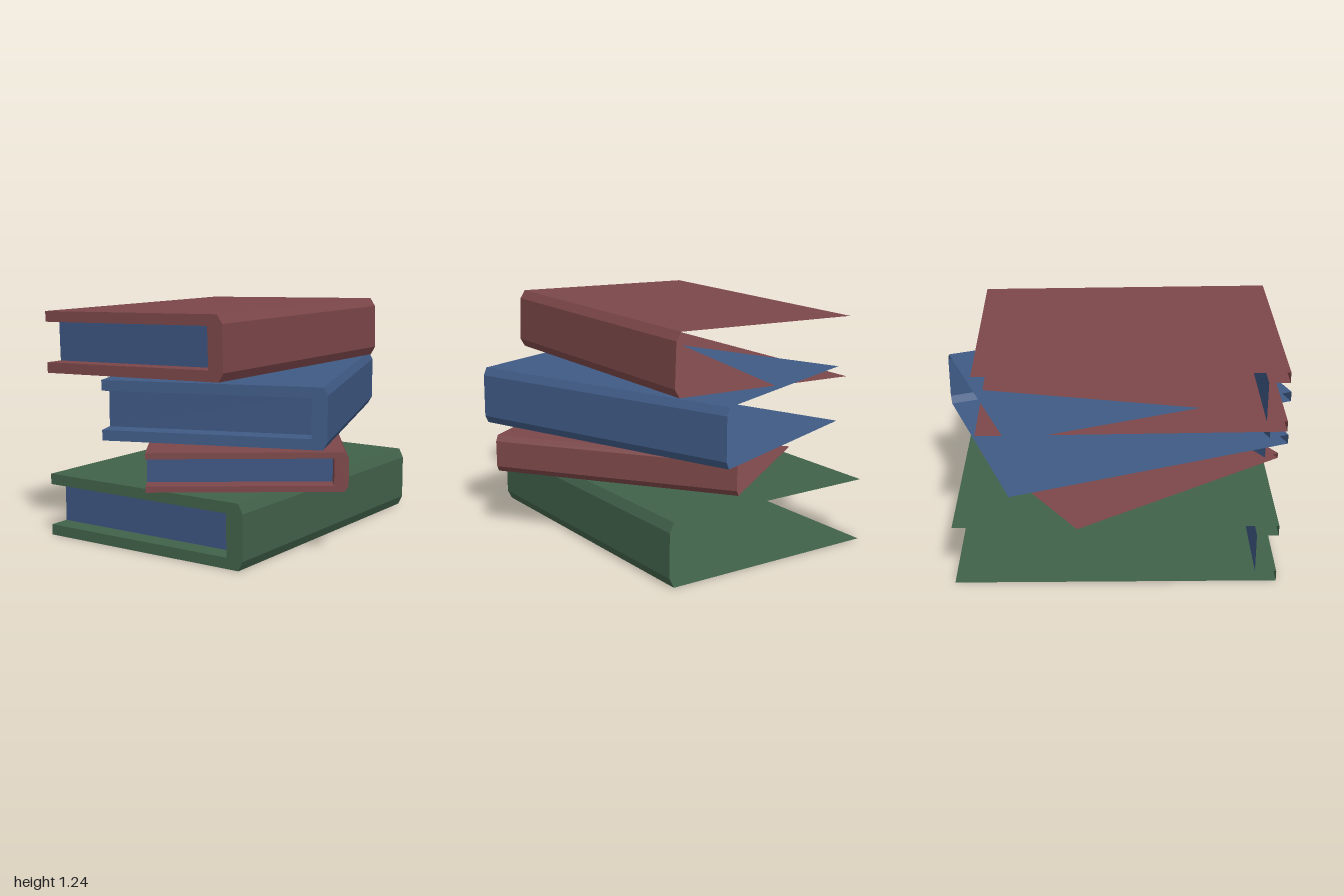
import * as THREE from 'three';

const RED = 0x7c4749, GREEN = 0x41624a, BLUE = 0x3f5a85, PAGES = 0x3c5580;

// Sweep an open cross-section [x, y] along z as flat quads.
function sheet(points, z0, z1) {
  const v = [];
  for (let i = 0; i < points.length - 1; i++) {
    const [x0, y0] = points[i], [x1, y1] = points[i + 1];
    const a = [x0, y0, z1], b = [x1, y1, z1], c = [x1, y1, z0], d = [x0, y0, z0];
    v.push(...a, ...c, ...b, ...a, ...d, ...c);
  }
  const g = new THREE.BufferGeometry();
  g.setAttribute('position', new THREE.Float32BufferAttribute(v, 3));
  g.computeVertexNormals();
  return g;
}

// A thin-walled book: spine on +x, closed at the front end, open at the fore edge and back.
function makeBook({ name, color, width, height, length, rim, spineRim, depth, chamfer, pos, turn, pitch = 0, roll = 0 }) {
  const book = new THREE.Group();
  book.name = name;
  const material = c => new THREE.MeshStandardMaterial({ color: c, side: THREE.DoubleSide, flatShading: true });
  const cover = material(color), paper = material(PAGES);
  const add = (part, geometry, mat) => {
    const mesh = new THREE.Mesh(geometry, mat);
    mesh.name = part;
    book.add(mesh);
    return mesh;
  };
  const w = width / 2, h = height / 2, l = length / 2;
  const [cx, cy] = chamfer;
  const inX = w - spineRim, inY = h - rim;

  // Boards and bevelled spine
  const outer = [[-w, -h], [w - cx, -h], [w, -h + cy], [w, h - cy], [w - cx, h], [-w, h]];
  add('coverAndSpine', sheet(outer, -l, l), cover);

  // Recess walls between the cover edge and the pages
  const inner = [[-w, inY], [inX, inY], [inX, -inY], [-w, -inY]];
  add('coverLining', sheet(inner, l - depth, l), cover);

  // C-shaped cover edge at the front end
  const edge = new THREE.Shape([...outer, ...inner].map(([x, y]) => new THREE.Vector2(x, y)));
  add('coverEdge', new THREE.ShapeGeometry(edge), cover).position.z = l;

  // Recessed page face
  const pages = add('pages', new THREE.PlaneGeometry(inX + w, inY * 2), paper);
  pages.position.set((inX - w) / 2, 0, l - depth);

  book.position.set(...pos);
  book.rotation.set(pitch, turn, roll, 'YXZ');
  return book;
}

export function createModel() {
  const model = new THREE.Group();
  model.name = 'bookStack';
  const books = [
    { name: 'bottomGreenBook', color: GREEN, width: 1.24, height: 0.335, length: 1.68, rim: 0.057, spineRim: 0.095,
      depth: 0.112, chamfer: [0.025, 0.05], pos: [-0.09, 0.1675, 0], turn: 0.314 },
    { name: 'thinRedBook', color: RED, width: 1.006, height: 0.2, length: 1.36, rim: 0.031, spineRim: 0.072,
      depth: 0.098, chamfer: [0.02, 0.03], pos: [0.055, 0.45, 0.037], turn: 0.916, pitch: 0.012, roll: 0.004 },
    { name: 'blueBook', color: BLUE, width: 1.15, height: 0.308, length: 1.56, rim: 0.054, spineRim: 0.078,
      depth: 0.112, chamfer: [0.022, 0.04], pos: [-0.005, 0.73, -0.03], turn: 0.672 },
    { name: 'topRedBook', color: RED, width: 1.127, height: 0.325, length: 1.54, rim: 0.056, spineRim: 0.087,
      depth: 0.104, chamfer: [0.028, 0.045], pos: [-0.13, 1.053, 0.088], turn: 0.322, pitch: -0.006, roll: 0.029 },
  ];
  books.forEach(b => model.add(makeBook(b)));
  return model;
}
